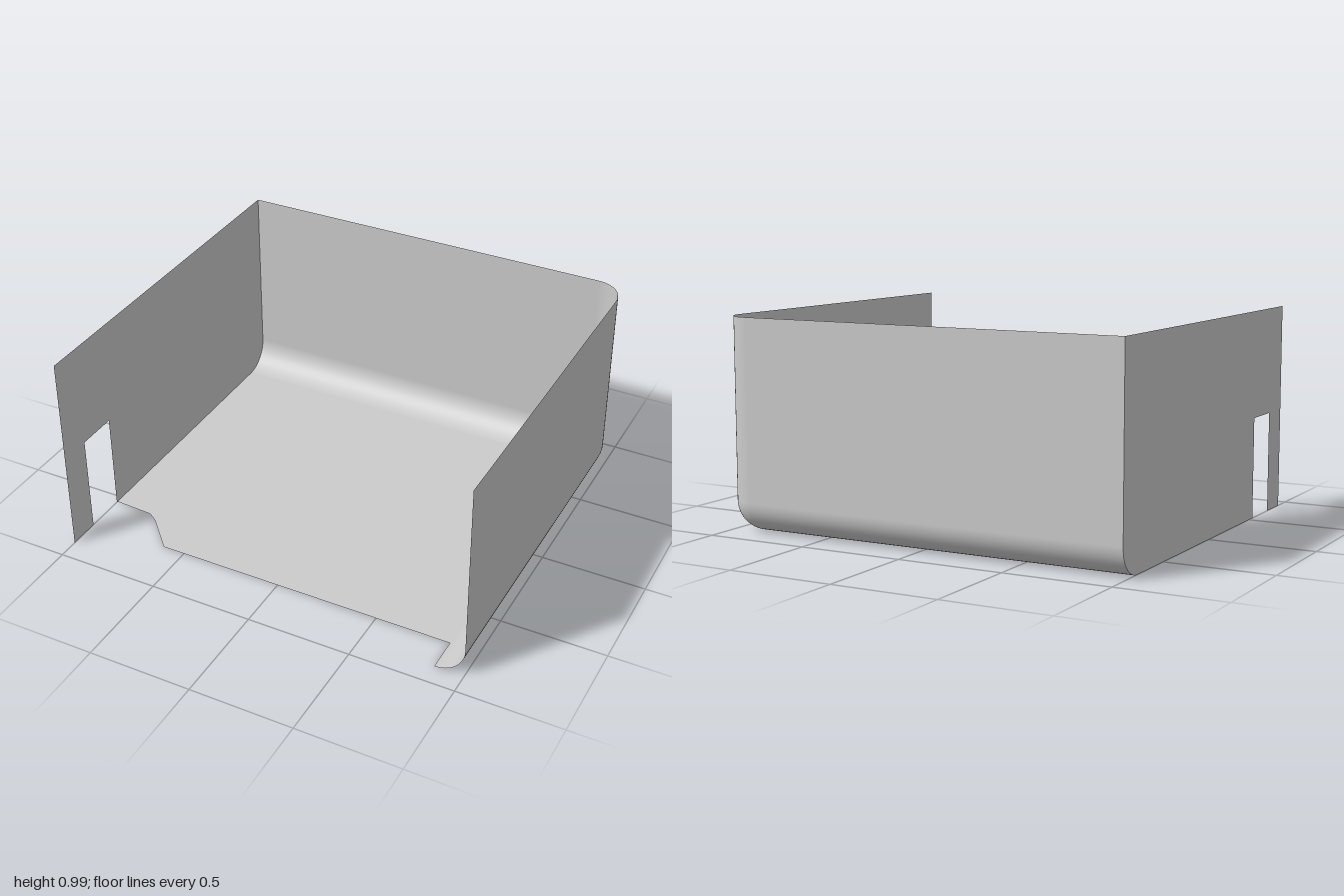
import * as THREE from 'three';

const H = 0.985, W = 1, D = 0.9, R = 0.14, SEG = 12;

export function createModel() {
  const model = new THREE.Group();
  const material = new THREE.MeshStandardMaterial({ color: 0xcccccc, side: THREE.DoubleSide });

  const add = (name, geometry, x, y, z) => {
    const mesh = new THREE.Mesh(geometry, material);
    mesh.name = name;
    mesh.position.set(x, y, z);
    model.add(mesh);
  };
  const quarter = (length, start) =>
    new THREE.CylinderGeometry(R, R, length, SEG, 1, true, start, Math.PI / 2);

  // Floor with a stepped front edge, drawn in x and z
  const floor = new THREE.Shape([
    [-W, R - D], [W - R, R - D], [W - R, 0.735], [-0.61, 0.735],
    [-0.76, 0.58], [-0.805, 0.55], [-W, 0.54],
  ].map(([x, z]) => new THREE.Vector2(x, z)));
  add('floor', new THREE.ShapeGeometry(floor).rotateX(Math.PI / 2), 0, 0, 0);

  // Notched side wall, drawn in z and y, with its lower back corner rounded
  const side = new THREE.Shape();
  side.moveTo(-D, H);
  side.lineTo(-D, R);
  side.absarc(R - D, R, R, Math.PI, Math.PI * 1.5, false);
  for (const [z, y] of [[0.545, 0], [0.545, 0.48], [0.745, 0.48], [0.745, 0], [D, 0], [D, H]]) {
    side.lineTo(z, y);
  }
  add('notchedWall', new THREE.ShapeGeometry(side, SEG).rotateY(-Math.PI / 2), -W, 0, 0);

  // Plain walls
  const wallH = H - R, midY = (H + R) / 2;
  add('backWall', new THREE.PlaneGeometry(2 * W - R, wallH).rotateY(Math.PI), -R / 2, midY, -D);
  add('plainWall', new THREE.PlaneGeometry(2 * D - R, wallH).rotateY(Math.PI / 2), W, midY, R / 2);

  // Rounded edges
  add('uprightEdge', quarter(wallH, Math.PI / 2), W - R, midY, R - D);
  add('sideLowerEdge', quarter(2 * D - R, 0).rotateX(Math.PI / 2), W - R, R, R / 2);
  add('backLowerEdge', quarter(2 * W - R, Math.PI).rotateZ(Math.PI / 2), -R / 2, R, R - D);

  // Ball corner where the three rounded edges meet
  add('roundCorner', new THREE.SphereGeometry(R, SEG, SEG, Math.PI, Math.PI / 2, Math.PI / 2, Math.PI / 2),
    W - R, R, R - D);

  return model;
}
